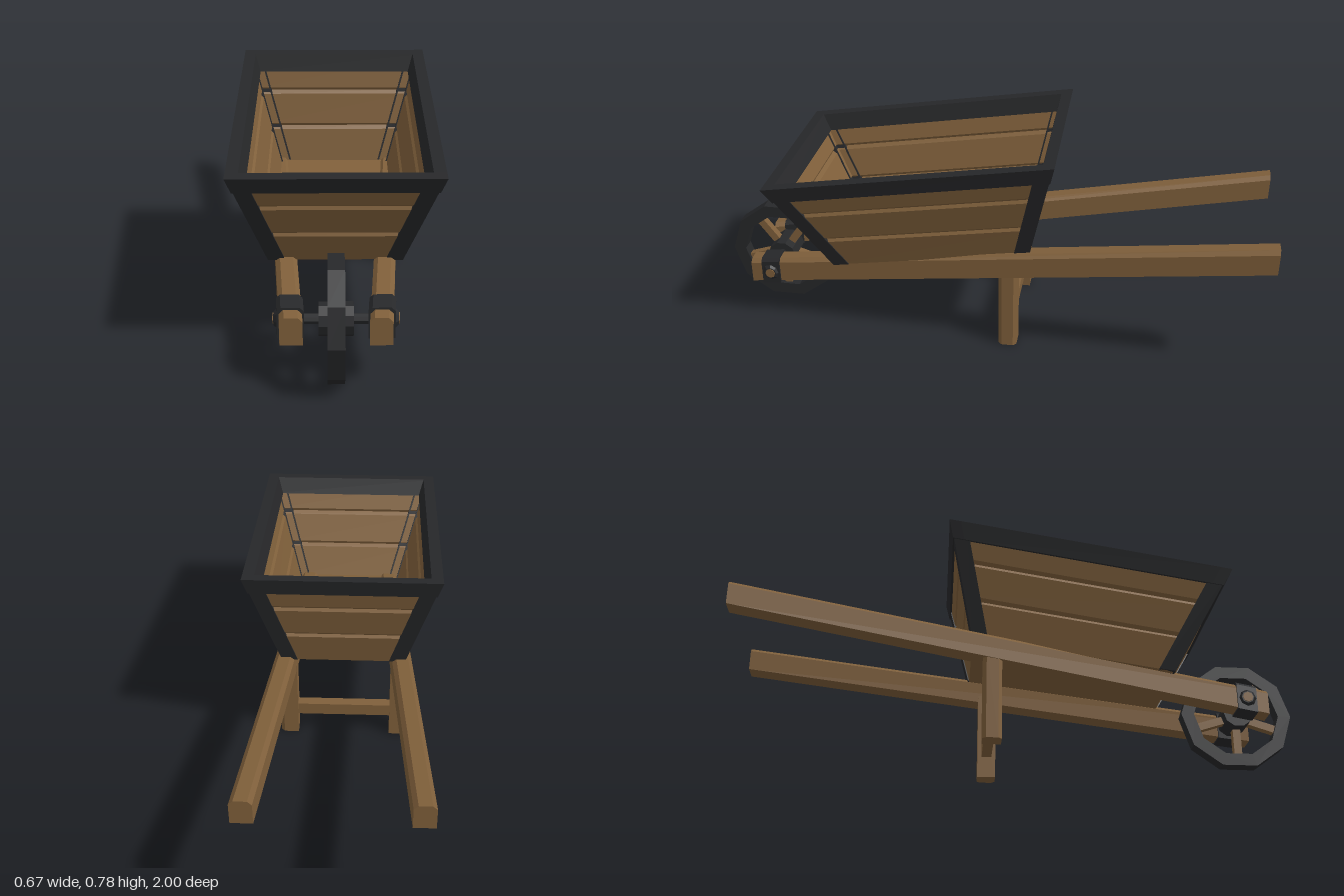
import * as THREE from 'three';

export function createModel() {
  const model = new THREE.Group();
  model.name = 'wheelbarrow';
  const wood = new THREE.MeshStandardMaterial({ name: 'wood', color: 0x80603b, flatShading: true });
  const iron = new THREE.MeshStandardMaterial({ name: 'iron', color: 0x27282a, flatShading: true });

  const add = (name, geo, mat, x = 0, y = 0, z = 0, parent = model) => {
    const m = new THREE.Mesh(geo, mat);
    m.name = name;
    m.position.set(x, y, z);
    parent.add(m);
    return m;
  };

  // ---- Tray: tapered and tilted; t runs 0 (floor) to 1 (rim), insets measured from the outer faces
  const zEnd = (s, t) => (s > 0 ? 0.548 + 0.197 * t : -0.17 - 0.085 * t);
  const xAt = (s, i) => (t) => s * (0.222 + 0.111 * t - i);
  const zAt = (s, i) => (t) => zEnd(s, t) - s * i;
  const point = (t, x, z) => {
    const zf = zEnd(1, t), zb = zEnd(-1, t);
    const yf = 0.27 + 0.35 * t, yb = 0.38 + 0.4 * t;
    return [x, yf + ((yb - yf) * (z - zf)) / (zb - zf), z];
  };

  // Solid stacked from levels [t, x0, x1, z0, z1], each a four-cornered section
  const stack = (levels) => {
    const pos = [];
    const quad = (a, b, c, d) => pos.push(...a, ...b, ...c, ...a, ...c, ...d);
    const rings = levels.map(([t, x0, x1, z0, z1]) => {
      const xs = [x0(t), x1(t)].sort((a, b) => a - b);
      const zs = [z0(t), z1(t)].sort((a, b) => a - b);
      return [[0, 1], [1, 1], [1, 0], [0, 0]].map(([i, k]) => point(t, xs[i], zs[k]));
    });
    for (let r = 0; r + 1 < rings.length; r++) {
      const lo = rings[r], hi = rings[r + 1];
      for (let k = 0; k < 4; k++) quad(lo[k], lo[(k + 1) % 4], hi[(k + 1) % 4], hi[k]);
    }
    const top = rings[rings.length - 1];
    quad(...top);
    quad(...[...rings[0]].reverse());
    const g = new THREE.BufferGeometry();
    g.setAttribute('position', new THREE.Float32BufferAttribute(pos, 3));
    g.computeVertexNormals();
    return g;
  };
  const block = (t0, t1, ...sides) => stack([[t0, ...sides], [t1, ...sides]]);

  const tray = new THREE.Group();
  tray.name = 'tray';
  model.add(tray);
  const part = (name, geo, mat) => add(name, geo, mat, 0, 0, 0, tray);

  // Plank walls with V grooves: [t, outer inset, inner inset]
  const O = 0.008, I = 0.028;
  const profile = [[0, O, I], [0.3, O, I], [0.328, 0.017, 0.019], [0.355, O, I],
    [0.625, O, I], [0.655, 0.017, 0.019], [0.682, O, I], [0.96, O, I]];
  for (const s of [1, -1]) {
    part('sidePlanks', stack(profile.map(([t, o, i]) =>
      [t, xAt(s, o), xAt(s, i), zAt(1, 0.01), zAt(-1, 0.01)])), wood);
    part(s > 0 ? 'frontPlanks' : 'backPlanks', stack(profile.map(([t, o, i]) =>
      [t, xAt(1, 0.01), xAt(-1, 0.01), zAt(s, o), zAt(s, i)])), wood);
  }
  part('floor', block(0, 0.01, xAt(1, 0.01), xAt(-1, 0.01), zAt(1, 0.01), zAt(-1, 0.01)), wood);

  // Angle-iron corner posts, with their thin edges showing inside the tray
  for (const sx of [1, -1]) for (const sz of [1, -1]) {
    part('cornerPost', block(0, 0.95, xAt(sx, 0.004), xAt(sx, 0.06), zAt(sz, 0.004), zAt(sz, 0.024)), iron);
    part('cornerPost', block(0, 0.95, xAt(sx, 0.004), xAt(sx, 0.024), zAt(sz, 0.004), zAt(sz, 0.06)), iron);
    part('postEdge', block(0.02, 0.9, xAt(sx, 0.054), xAt(sx, 0.06), zAt(sz, 0.02), zAt(sz, 0.032)), iron);
    part('postEdge', block(0.02, 0.9, xAt(sx, 0.02), xAt(sx, 0.032), zAt(sz, 0.054), zAt(sz, 0.06)), iron);
  }

  // Rim
  for (const s of [1, -1]) {
    part('sideRim', block(0.84, 1, xAt(s, 0), xAt(s, 0.04), zAt(1, 0.04), zAt(-1, 0.04)), iron);
    part('endRim', block(0.84, 1, xAt(1, 0), xAt(-1, 0), zAt(s, 0), zAt(s, 0.04)), iron);
  }

  // ---- Timber section with its two upper corners chamfered
  const timber = (w, h, c, length) => {
    const a = w / 2, b = h / 2;
    const shape = new THREE.Shape([[-a, -b], [a, -b], [a, b - c], [a - c, b], [c - a, b], [-a, b - c]]
      .map(([x, y]) => new THREE.Vector2(x, y)));
    return new THREE.ExtrudeGeometry(shape, { depth: length, bevelEnabled: false });
  };
  // Shear that makes parts follow the splayed, rising handles
  const follow = (s) => new THREE.Matrix4().set(
    1, 0, -0.0707 * s, 0.197 * s, 0, 1, -0.155, 0.322, 0, 0, 1, 0, 0, 0, 0, 1);

  for (const s of [1, -1]) {
    const side = new THREE.Group();
    side.name = s > 0 ? 'leftFrame' : 'rightFrame';
    model.add(side);
    add('handle', timber(0.07, 0.09, 0.014, 1.878).translate(0, 0, -1).applyMatrix4(follow(s)), wood, 0, 0, 0, side);
    add('axleBracket', timber(0.082, 0.102, 0.012, 0.07).translate(0, 0, 0.765).applyMatrix4(follow(s)),
      iron, 0, 0, 0, side);
    add('axleCap', new THREE.CylinderGeometry(0.022, 0.034, 0.012, 8).rotateZ(-s * Math.PI / 2),
      iron, s * 0.184, 0.193, 0.8, side);
    add('axlePeg', new THREE.CylinderGeometry(0.018, 0.018, 0.006, 8).rotateZ(-s * Math.PI / 2),
      wood, s * 0.19, 0.193, 0.8, side);
    add('leg', timber(0.066, 0.065, 0.012, 0.32).rotateZ(-s * Math.PI / 2).rotateX(-Math.PI / 2),
      wood, s * 0.2025, 0, -0.093, side);
  }
  add('legCrossbar', new THREE.BoxGeometry(0.36, 0.048, 0.036), wood, 0, 0.101, -0.093);

  // ---- Wheel
  const wheel = new THREE.Group();
  wheel.name = 'wheel';
  wheel.position.set(0, 0.19, 0.8);
  model.add(wheel);
  const decagon = (r) => Array.from({ length: 10 }, (_, k) =>
    new THREE.Vector2(r * Math.cos(k * Math.PI / 5), r * Math.sin(k * Math.PI / 5)));
  const ring = new THREE.Shape(decagon(0.2));
  ring.holes.push(new THREE.Path(decagon(0.154)));
  add('tyre', new THREE.ExtrudeGeometry(ring, { depth: 0.052, bevelEnabled: false })
    .translate(0, 0, -0.026).rotateY(Math.PI / 2), iron, 0, 0, 0, wheel);
  for (let k = 0; k < 5; k++) {
    add('spoke', new THREE.BoxGeometry(0.028, 0.13, 0.028).translate(0, -0.09, 0)
      .rotateX(k * Math.PI * 0.4), wood, 0, 0, 0, wheel);
  }
  add('hub', new THREE.CylinderGeometry(0.053, 0.053, 0.106, 10).rotateZ(Math.PI / 2), iron, 0, 0, 0, wheel);
  add('axle', new THREE.CylinderGeometry(0.017, 0.017, 0.3, 8).rotateZ(Math.PI / 2), iron, 0, 0, 0, wheel);

  return model;
}
